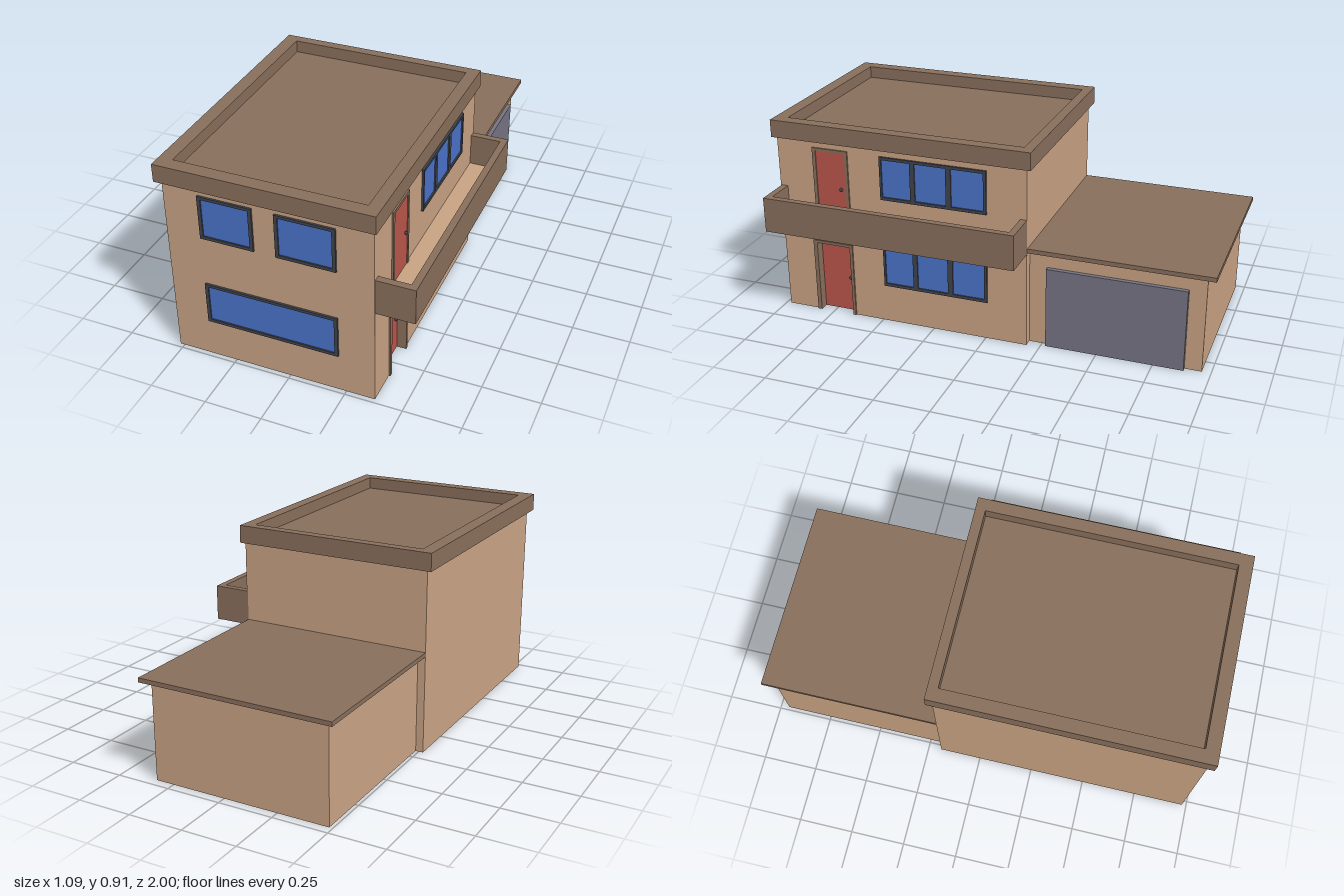
import * as THREE from 'three';

const mat = (name, color) => {
  const m = new THREE.MeshStandardMaterial({ color });
  m.name = name;
  return m;
};

export function createModel() {
  const wall = mat('wall tan', 0xc8a283);
  const trim = mat('trim brown', 0x886e5b);
  const frameMat = mat('frame charcoal', 0x3f434c);
  const glass = mat('glass blue', 0x4a72c9);
  const red = mat('door red', 0xb9554a);
  const grey = mat('garage grey', 0x757382);

  const model = new THREE.Group();
  model.name = 'house';

  const add = (parent, name, geo, material) => {
    const mesh = new THREE.Mesh(geo, material);
    mesh.name = name;
    parent.add(mesh);
    return mesh;
  };
  // Box given by its limits on each axis
  const box = (parent, name, material, x0, x1, y0, y1, z0, z1) => {
    const m = add(parent, name, new THREE.BoxGeometry(x1 - x0, y1 - y0, z1 - z0), material);
    m.position.set((x0 + x1) / 2, (y0 + y1) / 2, (z0 + z1) / 2);
    return m;
  };
  const poly = (pts) => new THREE.Shape(pts.map(([x, y]) => new THREE.Vector2(x, y)));
  const rect = (x0, x1, y0, y1) => poly([[x0, y0], [x1, y0], [x1, y1], [x0, y1]]);
  const extrude = (shape, depth) =>
    new THREE.ExtrudeGeometry(shape, { depth, bevelEnabled: false });

  // Facade groups: local x runs along the wall, local z points outwards
  const front = new THREE.Group();
  front.name = 'frontFacade';
  front.position.z = 0.98;
  const side = new THREE.Group();
  side.name = 'sideFacade';
  side.position.x = 0.375;
  side.rotation.y = Math.PI / 2; // local x = -z
  model.add(front, side);

  // Main house, with a side wall notched for the recessed entrance
  box(model, 'houseBody', wall, -0.52, 0.335, 0, 0.83, -0.19, 0.98);
  const sideWall = poly([[-0.98, 0], [-0.82, 0], [-0.82, 0.345], [-0.645, 0.345],
    [-0.645, 0], [0.19, 0], [0.19, 0.83], [-0.98, 0.83]]);
  add(side, 'sideWall', extrude(sideWall, 0.04), wall).position.z = -0.04;

  // Flat roof with a raised rim
  box(model, 'roofSlab', trim, -0.52, 0.37, 0.83, 0.855, -0.19, 0.98);
  const rim = rect(-0.545, 0.39, -1.0, 0.21);
  rim.holes.push(rect(-0.485, 0.335, -0.94, 0.165));
  const roofRim = add(model, 'roofRim', extrude(rim, 0.08), trim);
  roofRim.rotation.x = -Math.PI / 2;
  roofRim.position.y = 0.83;

  // Balcony with a parapet on three sides
  box(model, 'balconyBase', trim, 0.37, 0.54, 0.44, 0.45, -0.19, 0.975);
  box(model, 'balconyFloor', wall, 0.37, 0.515, 0.448, 0.455, -0.165, 0.95);
  const parapetShape = poly([[0.37, -0.975], [0.54, -0.975], [0.54, 0.19], [0.37, 0.19],
    [0.37, 0.16], [0.51, 0.16], [0.51, -0.945], [0.37, -0.945]]);
  const parapet = add(model, 'balconyParapet', extrude(parapetShape, 0.155), trim);
  parapet.rotation.x = -Math.PI / 2;
  parapet.position.y = 0.445;

  // Garage
  box(model, 'garageBody', wall, -0.485, 0.335, 0, 0.445, -0.96, -0.185);
  box(model, 'garageRoof', trim, -0.52, 0.37, 0.445, 0.465, -1.0, -0.185);
  box(model, 'garageDoor', grey, 0.33, 0.355, 0, 0.375, -0.885, -0.27);

  // Window: one frame around one or more panes
  const addWindow = (facade, x0, x1, y0, y1, panes) => {
    const group = new THREE.Group();
    group.name = 'window';
    const shape = rect(x0, x1, y0, y1);
    for (const [a, b] of panes) {
      shape.holes.push(rect(a, b, y0 + 0.014, y1 - 0.013));
      box(group, 'windowPane', glass, a - 0.003, b + 0.003, y0 + 0.011, y1 - 0.01, -0.002, 0.003);
    }
    add(group, 'windowFrame', extrude(shape, 0.009), frameMat);
    facade.add(group);
  };
  addWindow(front, -0.365, -0.13, 0.6, 0.8, [[-0.35, -0.145]]);
  addWindow(front, -0.035, 0.22, 0.6, 0.8, [[-0.02, 0.205]]);
  addWindow(front, -0.365, 0.22, 0.18, 0.373, [[-0.35, 0.205]]);
  const triple = [[-0.473, -0.34], [-0.318, -0.174], [-0.15, -0.003]];
  addWindow(side, -0.483, 0.01, 0.6, 0.8, triple);
  addWindow(side, -0.483, 0.01, 0.18, 0.37, triple);

  // Door: three-sided frame, leaf set at the given depth, and a knob
  const addDoor = (name, x0, x1, a, b, y0, top, back, leafZ) => {
    const group = new THREE.Group();
    group.name = name;
    const shape = poly([[x0, y0], [a, y0], [a, top - 0.013], [b, top - 0.013],
      [b, y0], [x1, y0], [x1, top], [x0, top]]);
    add(group, 'doorFrame', extrude(shape, 0.007 - back), trim).position.z = back;
    box(group, 'doorLeaf', red, a, b, y0, top - 0.013, leafZ - 0.008, leafZ);
    add(group, 'doorKnob', new THREE.SphereGeometry(0.008, 12, 8), frameMat)
      .position.set(b - 0.022, y0 + 0.167, leafZ + 0.005);
    side.add(group);
  };
  addDoor('entranceDoor', -0.832, -0.637, -0.813, -0.651, 0, 0.353, -0.04, -0.036);
  addDoor('balconyDoor', -0.807, -0.637, -0.791, -0.651, 0.453, 0.802, -0.002, 0.003);

  return model;
}
